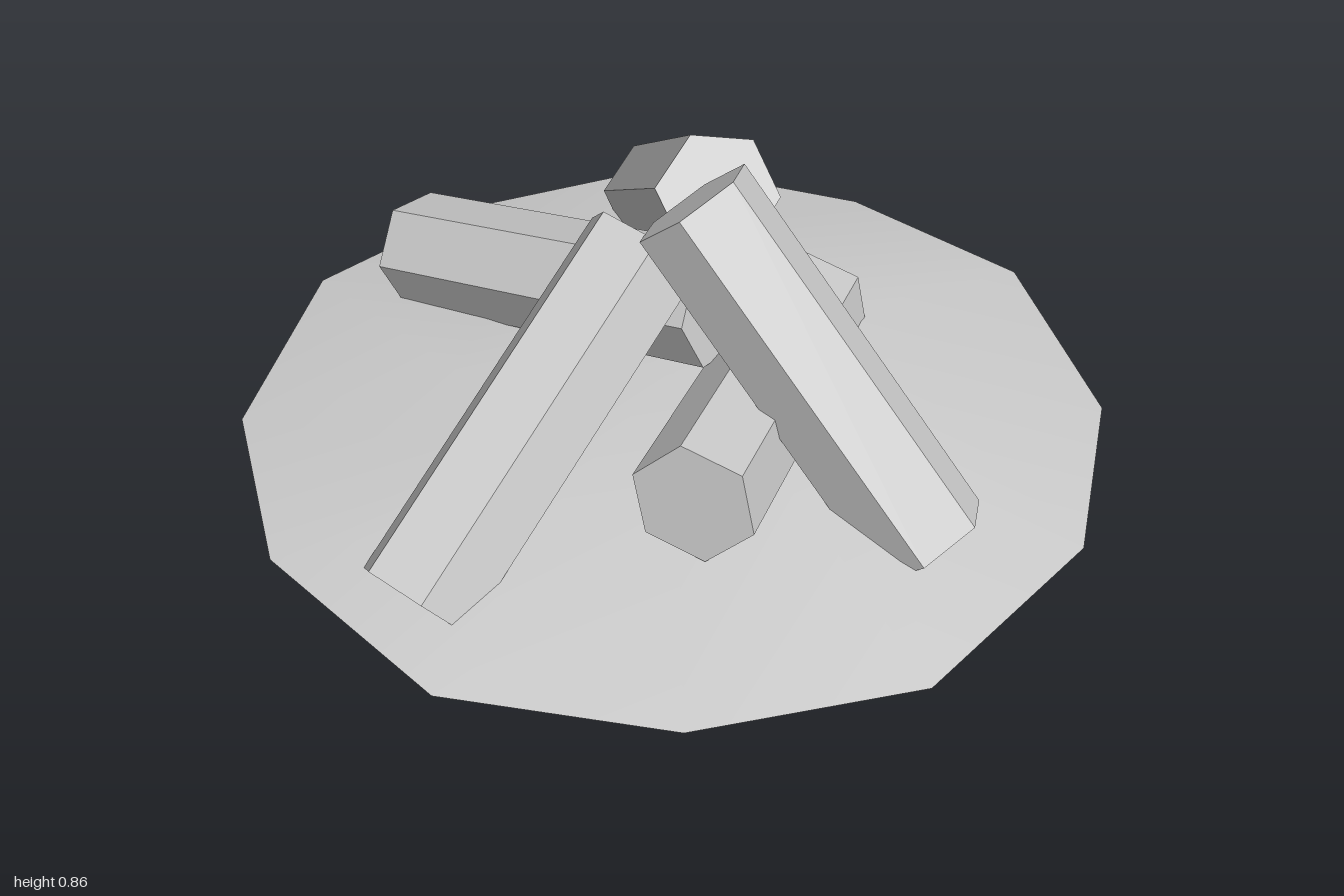
import * as THREE from 'three';
import { mergeVertices } from 'three/addons/utils/BufferGeometryUtils.js';

const LOG_RADIUS = 0.139;

// Six-sided log between two end centres; roll (degrees) turns it about its axis
function makeLog(name, from, to, roll, material) {
  const a = new THREE.Vector3(...from);
  const b = new THREE.Vector3(...to);
  const axis = b.clone().sub(a);
  const length = axis.length();
  axis.normalize();
  const side = axis.clone().cross(new THREE.Vector3(0, 1, 0)).normalize();
  const up = side.clone().cross(axis);

  const geometry = new THREE.CylinderGeometry(LOG_RADIUS, LOG_RADIUS, length, 6);
  geometry.rotateY(THREE.MathUtils.degToRad(roll));

  const log = new THREE.Mesh(geometry, material);
  log.name = name;
  log.quaternion.setFromRotationMatrix(new THREE.Matrix4().makeBasis(side, axis, up));
  log.position.copy(a).add(b).multiplyScalar(0.5);
  return log;
}

// Shallow, slightly wavy twelve-sided mound of ash
function makeAshMound() {
  let geometry = new THREE.RingGeometry(0, 1, 12, 2);
  geometry.rotateX(-Math.PI / 2);
  const p = geometry.attributes.position;
  for (let i = 0; i < p.count; i++) {
    const x = p.getX(i), z = p.getZ(i);
    const r = Math.hypot(x, z);
    const wave = 0.015 * Math.cos(6 * Math.atan2(z, x));
    p.setY(i, r < 0.1 ? 0.232 : r < 0.7 ? 0.22 - wave : 0.11 + wave);
  }
  geometry.deleteAttribute('uv');
  geometry.deleteAttribute('normal');
  geometry = mergeVertices(geometry, 1e-4);
  geometry.computeVertexNormals();

  const mound = new THREE.Mesh(
    geometry,
    new THREE.MeshStandardMaterial({ color: 0xcccccc, side: THREE.DoubleSide })
  );
  mound.name = 'ashMound';
  return mound;
}

export function createModel() {
  const group = new THREE.Group();
  group.name = 'campfire';
  const wood = new THREE.MeshStandardMaterial({ color: 0xcccccc, flatShading: true });

  group.add(makeAshMound());

  // Three logs leaning together, two lying lower between them
  const logs = [
    ['leftLeaningLog', [0.1, 0.78, 0.1], [0.7, 0.12, 0.13], 4],
    ['frontLeaningLog', [-0.02, 0.625, 0.095], [-0.165, 0.12, 0.815], 20],
    ['backLeaningLog', [0.073, 0.697, -0.068], [-0.4, 0.2, -0.64], 40],
    ['rightLowLog', [-0.765, 0.25, -0.09], [0.1, 0.43, -0.02], 20],
    ['crossLowLog', [0.165, 0.21, -0.4], [0.31, 0.33, 0.48], 14],
  ];
  for (const [name, from, to, roll] of logs) {
    group.add(makeLog(name, from, to, roll, wood));
  }
  return group;
}
